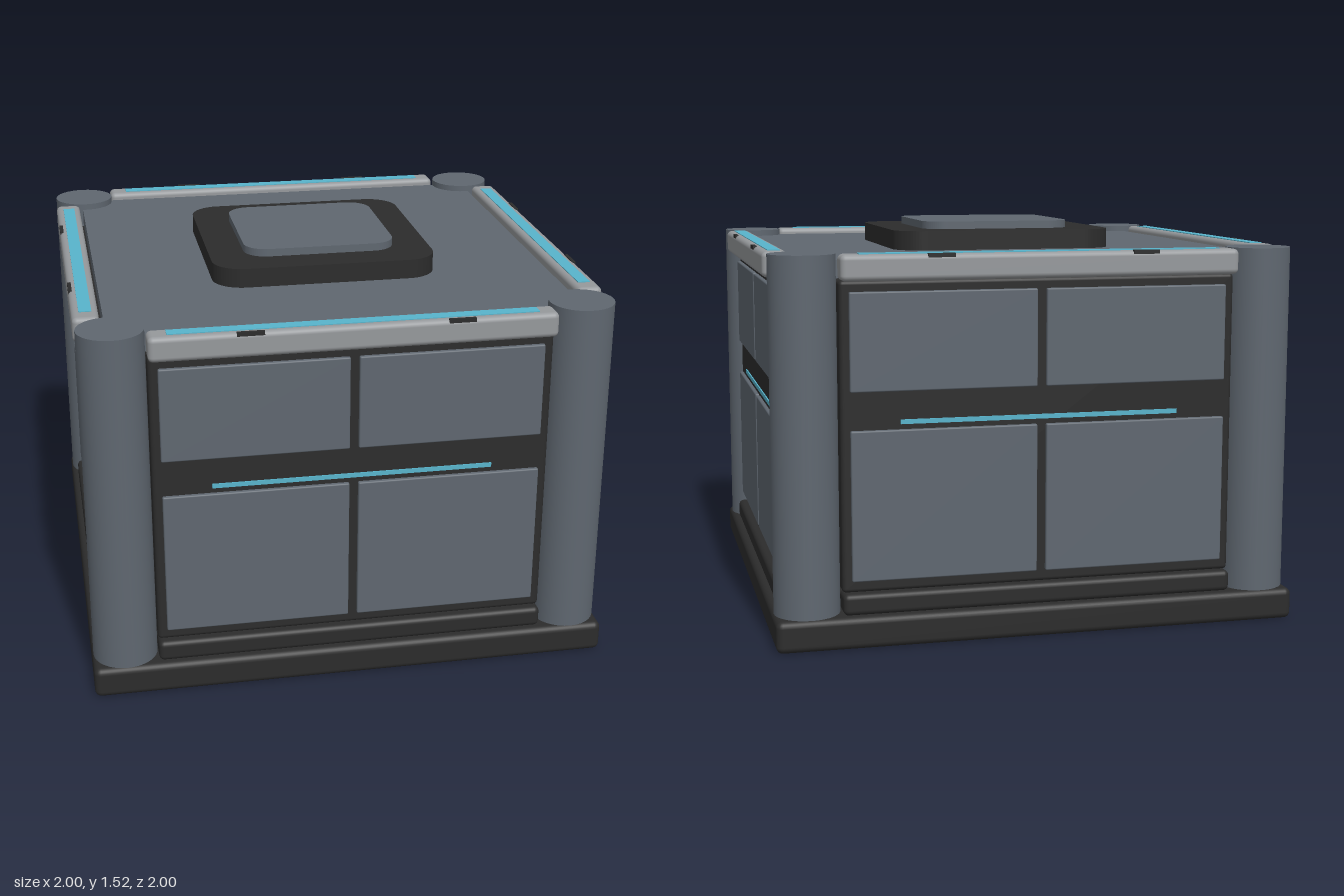
import * as THREE from 'three';
import { RoundedBoxGeometry } from 'three/addons/geometries/RoundedBoxGeometry.js';

const material = (name, color) => {
  const m = new THREE.MeshStandardMaterial({ color });
  m.name = name;
  return m;
};

export function createModel() {
  const slate = material('slate', 0x5f6770);
  const dark = material('charcoal', 0x2c2c2c);
  const silver = material('silver', 0x96999c);
  const cyan = material('cyan', 0x58b4cc);

  const model = new THREE.Group();
  model.name = 'storageCrate';

  const add = (parent, name, geometry, mat) => {
    const mesh = new THREE.Mesh(geometry, mat);
    mesh.name = name;
    parent.add(mesh);
    return mesh;
  };
  // Box given by its limits on each axis, with optional rounded edges
  const box = (parent, name, mat, [x0, x1], [y0, y1], [z0, z1], r = 0) => {
    const size = [x1 - x0, y1 - y0, z1 - z0];
    const g = r ? new RoundedBoxGeometry(...size, 3, r) : new THREE.BoxGeometry(...size);
    add(parent, name, g, mat).position.set((x0 + x1) / 2, (y0 + y1) / 2, (z0 + z1) / 2);
  };
  // Horizontal square plate with rounded corners
  const plate = (name, mat, h, r, y0, y1) => {
    const s = new THREE.Shape();
    s.moveTo(-h + r, -h);
    s.absarc(h - r, -h + r, r, -Math.PI / 2, 0);
    s.absarc(h - r, h - r, r, 0, Math.PI / 2);
    s.absarc(-h + r, h - r, r, Math.PI / 2, Math.PI);
    s.absarc(-h + r, -h + r, r, Math.PI, Math.PI * 1.5);
    const g = new THREE.ExtrudeGeometry(s, { depth: y1 - y0, bevelEnabled: false, curveSegments: 8 });
    g.rotateX(-Math.PI / 2);
    add(model, name, g, mat).position.y = y0;
  };

  // Base, core and roof
  box(model, 'base', dark, [-1, 1], [0, 0.12], [-1, 1], 0.025);
  box(model, 'core', dark, [-0.88, 0.88], [0.1, 1.35], [-0.88, 0.88]);
  box(model, 'roof', slate, [-0.885, 0.885], [1.35, 1.415], [-0.885, 0.885]);

  // Hatch on the roof
  plate('hatchFrame', dark, 0.44, 0.12, 1.41, 1.49);
  plate('hatchCap', slate, 0.3, 0.09, 1.49, 1.52);

  // Corner columns
  for (const x of [-1, 1]) {
    for (const z of [-1, 1]) {
      const column = add(model, 'cornerColumn', new THREE.CylinderGeometry(0.123, 0.123, 1.32, 32), slate);
      column.position.set(x * 0.873, 0.78, z * 0.873);
    }
  }

  // Four identical sides
  for (let i = 0; i < 4; i++) {
    const side = new THREE.Group();
    side.name = 'side';
    side.rotation.y = (i * Math.PI) / 2;
    model.add(side);

    box(side, 'sill', dark, [-0.75, 0.75], [0.12, 0.2], [0.85, 0.975], 0.02);
    box(side, 'wallFrame', dark, [-0.75, 0.75], [0.2, 1.345], [0.85, 0.945], 0.015);
    for (const [y0, y1] of [[0.243, 0.802], [0.943, 1.305]]) {
      for (const [x0, x1] of [[-0.715, -0.017], [0.017, 0.715]]) {
        box(side, 'wallPanel', slate, [x0, x1], [y0, y1], [0.92, 0.96], 0.006);
      }
    }
    box(side, 'wallLight', cyan, [-0.53, 0.53], [0.821, 0.838], [0.942, 0.95]);

    // Top rail with its light strip and clips
    box(side, 'topRail', silver, [-0.75, 0.75], [1.345, 1.44], [0.9, 1], 0.02);
    box(side, 'railLight', cyan, [-0.68, 0.68], [1.437, 1.443], [0.925, 0.972]);
    for (const x of [-0.385, 0.385]) {
      box(side, 'railClip', dark, [x - 0.05, x + 0.05], [1.427, 1.442], [0.985, 0.999]);
    }
  }

  return model;
}
